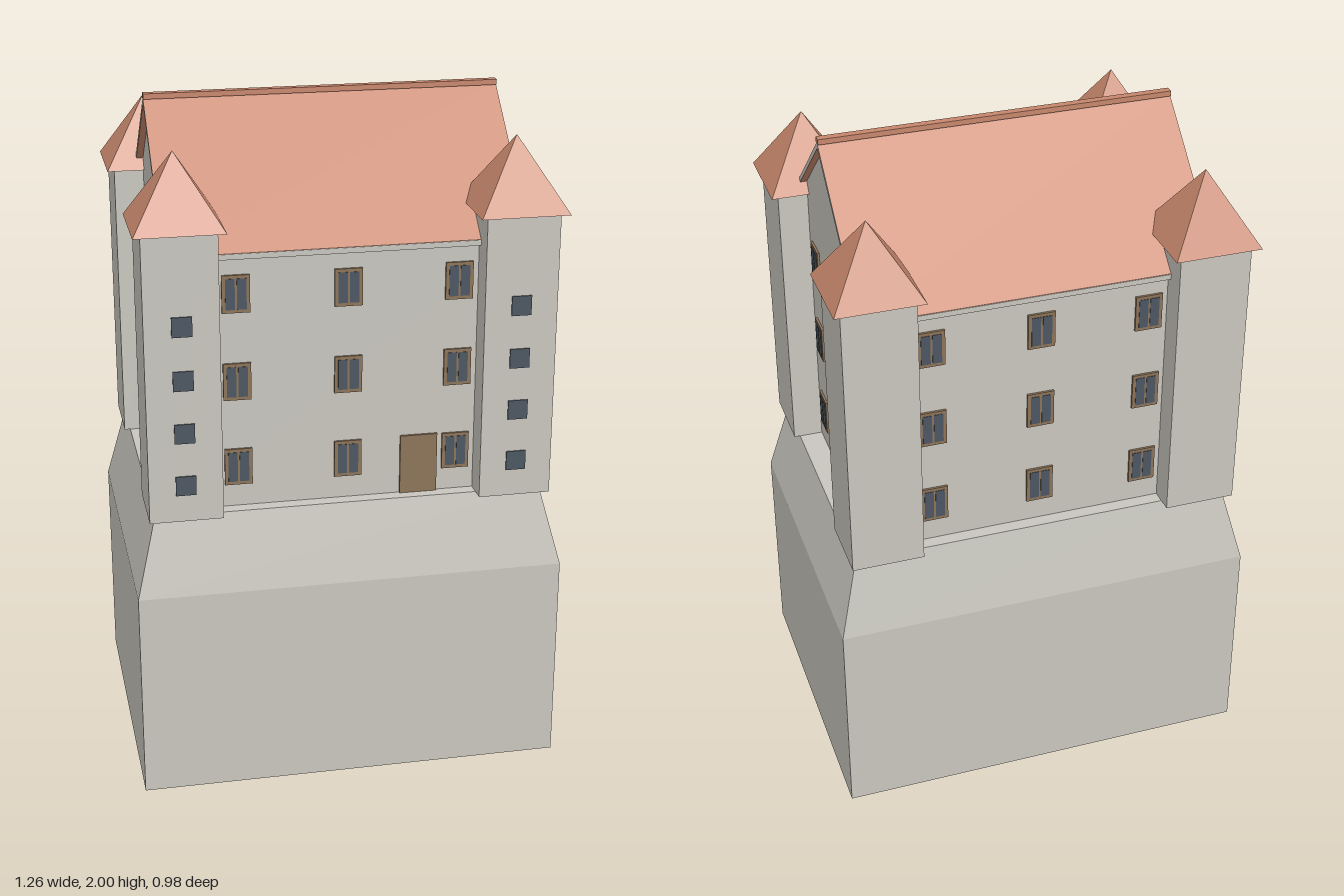
import * as THREE from 'three';

const mat = (name, color) => Object.assign(new THREE.MeshStandardMaterial({ color }), { name });

export function createModel() {
  const stone = mat('stone', 0xc8c6be);
  const tile = mat('roofTile', 0xc6866c);
  const wood = mat('wood', 0x8c7358);
  const glass = mat('glass', 0x4c5762);

  const model = new THREE.Group();
  model.name = 'castle';
  const add = (parent, name, geometry, material, x = 0, y = 0, z = 0) => {
    const mesh = new THREE.Mesh(geometry, material);
    mesh.name = name;
    mesh.position.set(x, y, z);
    parent.add(mesh);
    return mesh;
  };
  const box = (w, h, d) => new THREE.BoxGeometry(w, h, d);

  // Profile given as [z, y] points, extruded along x and centred
  const extrudeX = (points, length) => {
    const shape = new THREE.Shape(points.map(([z, y]) => new THREE.Vector2(-z, y)));
    return new THREE.ExtrudeGeometry(shape, { depth: length, bevelEnabled: false })
      .translate(0, 0, -length / 2).rotateY(Math.PI / 2);
  };

  // Plinth: straight block with a tapered block on top
  const ground = 0.87, shoulder = 0.635;
  add(model, 'plinth', box(1.26, shoulder, 0.95), stone, 0, shoulder / 2, 0);
  const taper = box(1.26, ground - shoulder, 0.95);
  const pos = taper.attributes.position;
  for (let i = 0; i < pos.count; i++) {
    if (pos.getY(i) > 0) {
      pos.setX(i, Math.sign(pos.getX(i)) * 0.57);
      pos.setZ(i, Math.sign(pos.getZ(i)) * 0.425);
    }
  }
  const slope = taper.toNonIndexed();
  slope.computeVertexNormals();
  add(model, 'plinthSlope', slope, stone, 0, (ground + shoulder) / 2, 0);

  // Main house with gable ends
  const wallX = 0.5, wallZ = 0.385;
  add(model, 'house', extrudeX([
    [-wallZ, ground], [-wallZ, 1.64], [0, 1.976], [wallZ, 1.64], [wallZ, ground],
  ], wallX * 2), stone);

  // Main roof: folded slab with stone-coloured ends and eave boards
  add(model, 'mainRoof', extrudeX([
    [-0.403, 1.634], [0, 1.988], [0.403, 1.634], [0.403, 1.617], [0, 1.969], [-0.403, 1.617],
  ], 1.04), [stone, tile]);
  add(model, 'ridge', box(1.04, 0.016, 0.024), tile, 0, 1.992, 0);
  for (const s of [-1, 1]) {
    add(model, 'eaveBoard', box(1.04, 0.016, 0.003), stone, 0, 1.625, s * 0.4035);
  }

  // Corner towers with pyramid roofs and small windows on their front faces
  for (const sx of [-1, 1]) {
    for (const sz of [-1, 1]) {
      const tower = new THREE.Group();
      tower.name = 'tower';
      tower.position.set(sx * 0.482, 0, sz * 0.36);
      model.add(tower);
      const height = 1.715 - ground;
      add(tower, 'towerWall', box(0.212, height, 0.212), stone, 0, ground + height / 2, 0);
      const cone = new THREE.ConeGeometry(0.128 * Math.SQRT2, 0.205, 4, 1).rotateY(Math.PI / 4).toNonIndexed();
      cone.computeVertexNormals();
      add(tower, 'towerRoof', cone, tile, 0, 1.8175, 0);
      for (const y of [0.98, 1.138, 1.295, 1.453]) {
        add(tower, 'towerWindow', box(0.058, 0.058, 0.006), glass, 0, y, 0.107);
      }
    }
  }

  // Framed window with two panes, turned to face outward
  const addWindow = (x, y, z, turn) => {
    const win = new THREE.Group();
    win.name = 'window';
    win.position.set(x, y, z);
    win.rotation.y = turn;
    model.add(win);
    add(win, 'windowFrame', box(0.08, 0.11, 0.008), wood, 0, 0, 0.003);
    for (const s of [-1, 1]) {
      add(win, 'windowPane', box(0.027, 0.09, 0.009), glass, s * 0.0165, 0, 0.004);
    }
  };
  for (const y of [0.993, 1.253, 1.513]) {
    for (const x of [-0.32, 0, 0.32]) {
      addWindow(x, y, wallZ, 0);
      addWindow(x, y, -wallZ, Math.PI);
    }
    for (const z of [-0.18, 0.18]) {
      addWindow(wallX, y, z, Math.PI / 2);
      addWindow(-wallX, y, z, -Math.PI / 2);
    }
  }

  // Front door
  add(model, 'door', box(0.11, 0.18, 0.009), wood, 0.21, ground + 0.09, wallZ + 0.003);

  return model;
}
